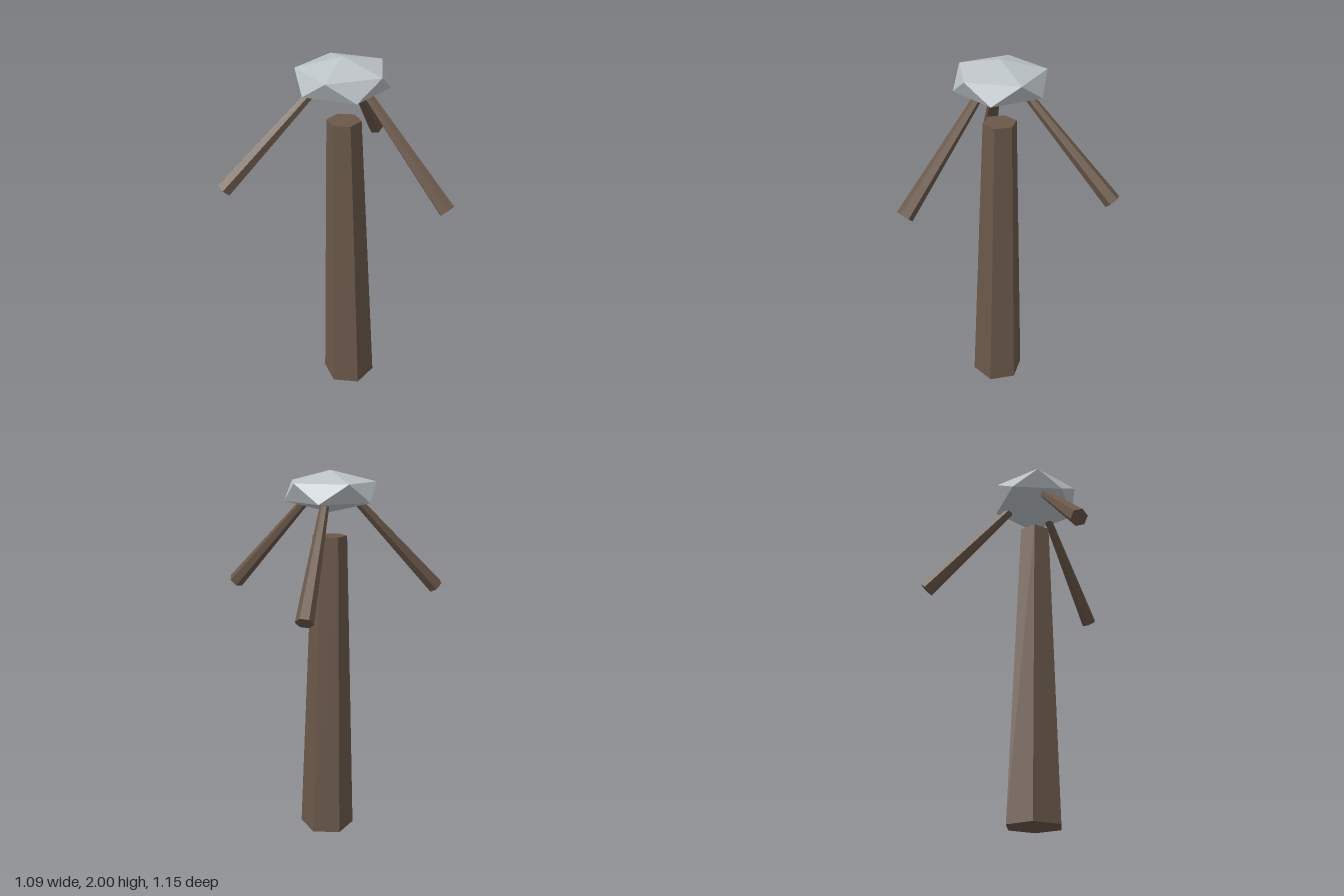
import * as THREE from 'three';
import { ConvexGeometry } from 'three/addons/geometries/ConvexGeometry.js';

export function createModel() {
  const model = new THREE.Group();
  model.name = 'tree';

  const bark = new THREE.MeshStandardMaterial({ color: 0x6b584a, flatShading: true });
  bark.name = 'bark brown';
  const leaf = new THREE.MeshStandardMaterial({ color: 0xbcc3c7, flatShading: true });
  leaf.name = 'pale grey';

  // Everything is arranged around the trunk's axis
  const tree = new THREE.Group();
  tree.name = 'treeParts';
  tree.position.set(-0.12, 0, 0.045);
  model.add(tree);

  // Tapered six-sided trunk
  const trunk = new THREE.Mesh(new THREE.CylinderGeometry(0.09, 0.15, 1.67, 6), bark);
  trunk.name = 'trunk';
  trunk.position.y = 0.835;
  tree.add(trunk);

  // Flattened icosahedron crown: two poles and two staggered rings of five
  const points = [new THREE.Vector3(0, 0.105, 0), new THREE.Vector3(0, -0.105, 0)];
  for (let i = 0; i < 10; i++) {
    const a = (i * Math.PI) / 5;
    points.push(new THREE.Vector3(0.236 * Math.cos(a), i % 2 ? -0.048 : 0.048, 0.236 * Math.sin(a)));
  }
  const crown = new THREE.Mesh(new ConvexGeometry(points), leaf);
  crown.name = 'crown';
  crown.position.y = 1.895;
  tree.add(crown);

  // Drooping branches that widen outwards: [heading, twist] in degrees
  const inner = 0.01, outer = 0.63;
  const length = (outer - inner) * Math.SQRT2;
  [[0, 45], [-111.5, 8], [128, 38]].forEach(([heading, twist], i) => {
    const arm = new THREE.Group();
    arm.name = 'branch' + (i + 1);
    arm.rotation.y = -THREE.MathUtils.degToRad(heading);
    const geometry = new THREE.CylinderGeometry(0.044, 0.017, length, 6, 1, false, -THREE.MathUtils.degToRad(twist));
    const branch = new THREE.Mesh(geometry, bark);
    branch.name = 'branchWood';
    branch.rotation.z = -Math.PI * 0.75;
    branch.position.set((inner + outer) / 2, 1.358 + (outer - inner) / 2 + 0.004, 0);
    arm.add(branch);
    tree.add(arm);
  });

  return model;
}
